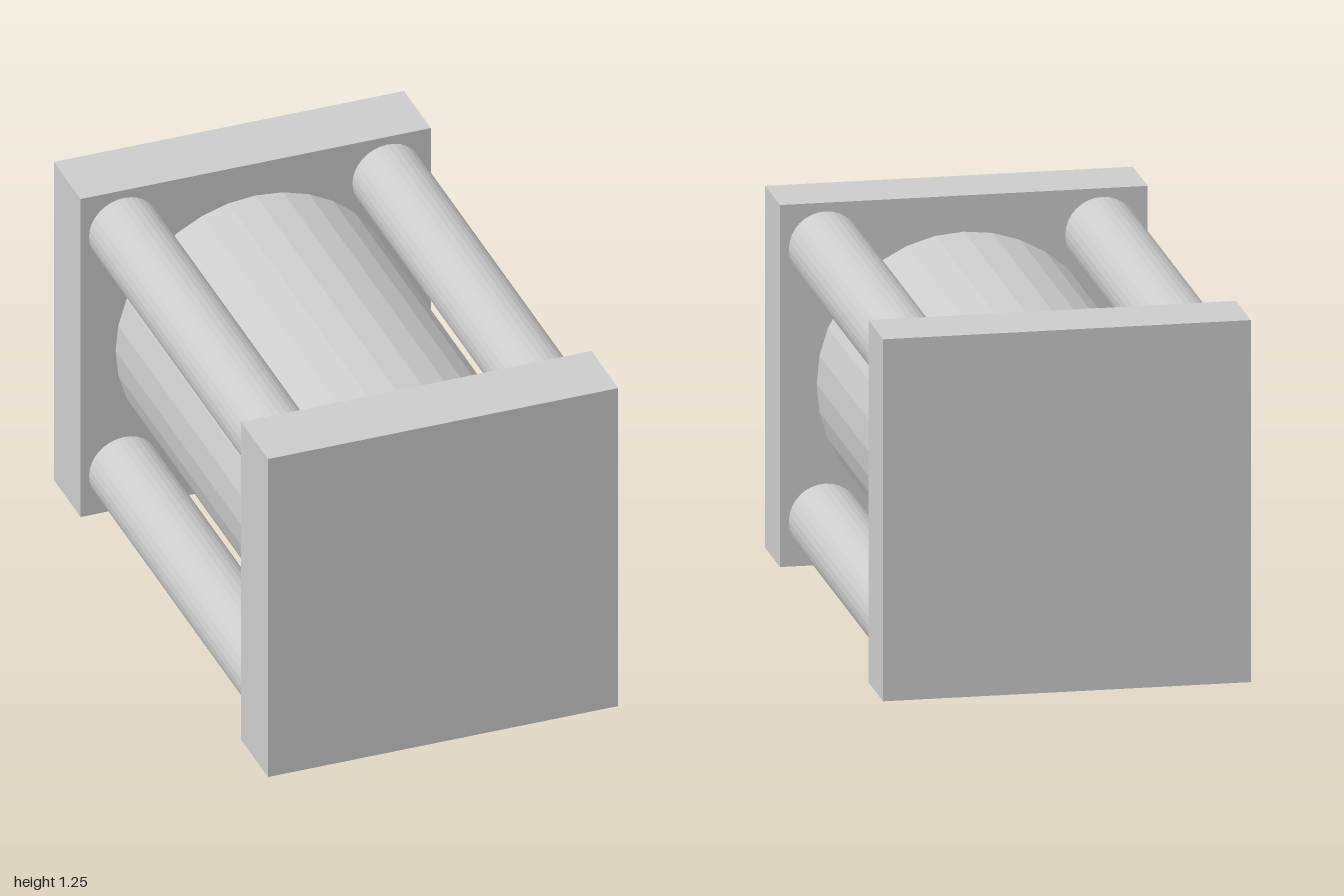
import * as THREE from 'three';

const SIZE = 1.25, PLATE = 0.25, SPAN = 1.5, MID = SIZE / 2;

export function createModel() {
  const model = new THREE.Group();
  const material = new THREE.MeshStandardMaterial({ color: 0xcccccc, flatShading: true });

  const add = (name, geometry, x, y, z) => {
    const mesh = new THREE.Mesh(geometry, material);
    mesh.name = name;
    mesh.position.set(x, y, z);
    model.add(mesh);
  };
  // Cylinder lying along z, spanning the gap between the plates
  const bar = (radius) => new THREE.CylinderGeometry(radius, radius, SPAN, 32).rotateX(Math.PI / 2);

  // Square end plates
  const plate = new THREE.BoxGeometry(SIZE, SIZE, PLATE);
  add('frontPlate', plate, 0, MID, (SPAN + PLATE) / 2);
  add('backPlate', plate, 0, MID, -(SPAN + PLATE) / 2);

  // Central barrel
  add('barrel', bar(0.5), 0, MID, 0);

  // Four tie rods at the corners
  const rod = bar(0.125);
  for (const sx of [-1, 1]) {
    for (const sy of [-1, 1]) {
      add(`${sy > 0 ? 'upper' : 'lower'}${sx > 0 ? 'Left' : 'Right'}Rod`, rod, sx * 0.47, MID + sy * 0.47, 0);
    }
  }
  return model;
}
